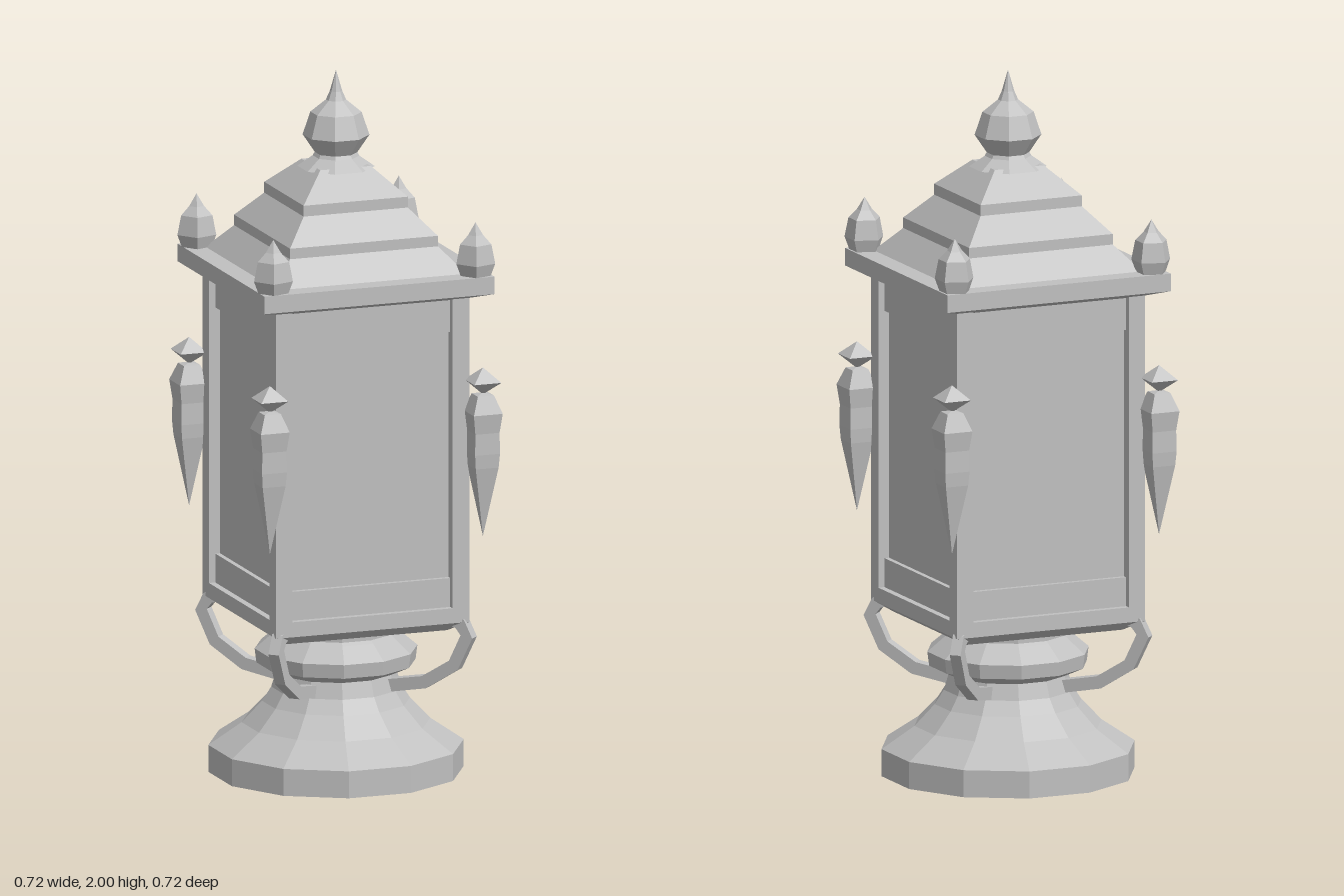
import * as THREE from 'three';

const stone = new THREE.MeshStandardMaterial({ name: 'grey stone', color: 0xc0c0c0, flatShading: true });

function add(parent, name, geometry, x = 0, y = 0, z = 0) {
  const mesh = new THREE.Mesh(geometry, stone);
  mesh.name = name;
  mesh.position.set(x, y, z);
  parent.add(mesh);
  return mesh;
}

// Faceted turning: profile of [half width across flats, y], flats facing the axes
function faceted(profile, sides) {
  const k = 1 / Math.cos(Math.PI / sides);
  const points = profile.map(([r, y]) => new THREE.Vector2(r * k, y));
  return new THREE.LatheGeometry(points, sides, Math.PI / sides);
}

// Curved bracket: a strip of even thickness along a path in the x-y plane
function strip(path, thickness, depth) {
  const pts = path.map(([x, y]) => new THREE.Vector2(x, y));
  const side = (s) => pts.map((p, i) => {
    const t = pts[Math.min(i + 1, pts.length - 1)].clone().sub(pts[Math.max(i - 1, 0)]).normalize();
    return new THREE.Vector2(p.x - t.y * s, p.y + t.x * s);
  });
  const shape = new THREE.Shape([...side(thickness / 2), ...side(-thickness / 2).reverse()]);
  return new THREE.ExtrudeGeometry(shape, { depth, bevelEnabled: false }).translate(0, 0, -depth / 2);
}

export function createModel() {
  const model = new THREE.Group();
  model.name = 'lantern';

  // Twelve-sided foot, neck and collar
  add(model, 'pedestal', faceted([
    [0, 0], [0.345, 0], [0.345, 0.077], [0.255, 0.14], [0.2, 0.2], [0.175, 0.24], [0.162, 0.285],
    [0.215, 0.31], [0.22, 0.35], [0.172, 0.392], [0.162, 0.4], [0.162, 0.44],
  ], 12));

  // Square housing: sloped underside, sill, recessed panes and rails
  add(model, 'housingBase', faceted([
    [0, 0.43], [0.24, 0.43], [0.288, 0.46], [0.288, 0.503], [0, 0.503],
  ], 4));
  add(model, 'panes', new THREE.BoxGeometry(0.51, 0.9, 0.51), 0, 0.94, 0);
  add(model, 'lowerRail', new THREE.BoxGeometry(0.538, 0.085, 0.538), 0, 0.543, 0);
  add(model, 'upperRail', new THREE.BoxGeometry(0.538, 0.1, 0.538), 0, 1.34, 0);

  // Stepped roof with overhanging eaves
  add(model, 'roof', faceted([
    [0, 1.375], [0.252, 1.375], [0.342, 1.405], [0.342, 1.455], [0.282, 1.455],
    [0.22, 1.525], [0.22, 1.555], [0.155, 1.627], [0.155, 1.658], [0.075, 1.735], [0, 1.735],
  ], 4));

  // Eight-sided top finial
  add(model, 'topFinial', faceted([
    [0, 1.72], [0.1, 1.725], [0.06, 1.755], [0.055, 1.765], [0.086, 1.815],
    [0.066, 1.88], [0.026, 1.915], [0.016, 1.94], [0, 2],
  ], 8));

  const finial = new THREE.LatheGeometry([
    [0, 1.45], [0.044, 1.455], [0.057, 1.49], [0.046, 1.545], [0.022, 1.57], [0, 1.605],
  ].map(([r, y]) => new THREE.Vector2(r, y)), 5, -Math.PI / 2);
  const pendant = faceted([
    [0, 0.71], [0.034, 0.91], [0.037, 0.95], [0.036, 1.01], [0.043, 1.065], [0.024, 1.115],
    [0.005, 1.12], [0.04, 1.153], [0, 1.192],
  ], 4);
  const arm = strip([
    [0.36, 0.465], [0.385, 0.455], [0.405, 0.42], [0.365, 0.335], [0.275, 0.278], [0.165, 0.258],
  ], 0.036, 0.032);

  // Posts, corner finials, pendants and brackets at each corner
  for (const sx of [1, -1]) {
    for (const sz of [1, -1]) {
      const corner = new THREE.Group();
      corner.name = `${sz > 0 ? 'front' : 'back'}${sx > 0 ? 'Left' : 'Right'}Corner`;
      model.add(corner);
      add(corner, 'post', new THREE.BoxGeometry(0.05, 0.9, 0.05), sx * 0.263, 0.94, sz * 0.263);
      add(corner, 'cornerFinial', finial, sx * 0.301, 0, sz * 0.301);
      add(corner, 'pendant', pendant, sx * 0.317, 0, sz * 0.317);
      add(corner, 'bracket', arm).rotation.y = Math.atan2(-sz, sx);
    }
  }
  return model;
}
